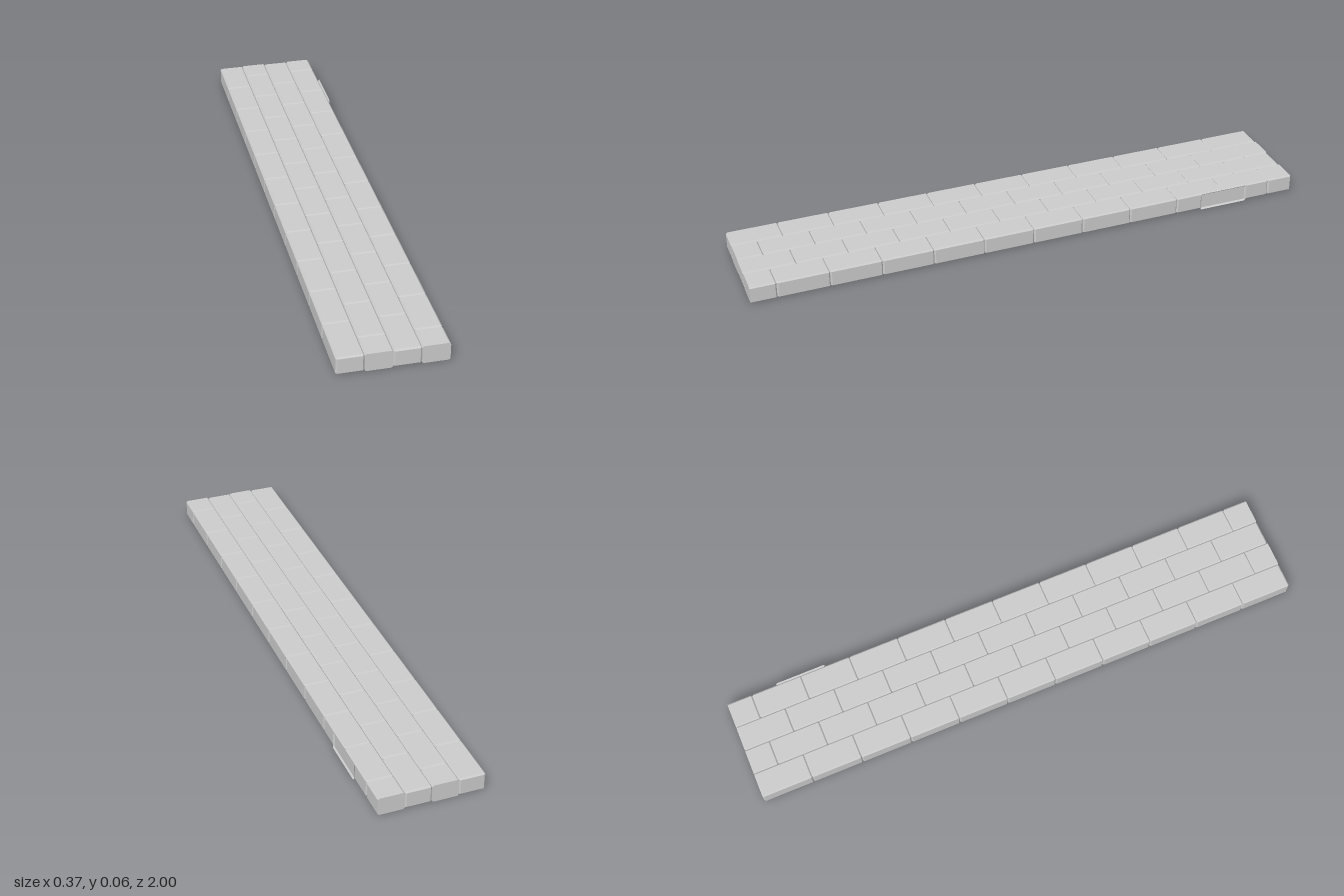
import * as THREE from 'three';
import { ConvexGeometry } from 'three/addons/geometries/ConvexGeometry.js';

const W = 0.09025, H = 0.063, C = 0.005, ROWS = 11, PITCH = 2 / ROWS;
const LEFT = -0.183;

// Brick with chamfered edges, centred on the origin; an end may be cut flat.
function brickGeometry(length, cutBack = false, cutFront = false) {
  const pts = [];
  for (const sx of [-1, 1]) for (const sy of [-1, 1]) for (const sz of [-1, 1]) {
    const cut = sz < 0 ? cutBack : cutFront;
    const x = sx * W / 2, y = sy * H / 2, z = sz * length / 2;
    const xi = x - sx * C, yi = y - sy * C, zi = cut ? z : z - sz * C;
    pts.push(new THREE.Vector3(x, yi, zi), new THREE.Vector3(xi, y, zi));
    if (!cut) pts.push(new THREE.Vector3(xi, yi, z));
  }
  return new ConvexGeometry(pts);
}

// Only the side face of a brick with its surrounding chamfers.
function brickSideGeometry(length) {
  const p = brickGeometry(length).getAttribute('position');
  const kept = [];
  for (let i = 0; i < p.count; i += 3) {
    const tri = [i, i + 1, i + 2];
    if (tri.every((k) => p.getX(k) < -W / 2 + C + 1e-5)) {
      tri.forEach((k) => kept.push(p.getX(k), p.getY(k), p.getZ(k)));
    }
  }
  const g = new THREE.BufferGeometry();
  g.setAttribute('position', new THREE.Float32BufferAttribute(kept, 3));
  g.computeVertexNormals();
  return g;
}

export function createModel() {
  const model = new THREE.Group();
  model.name = 'brickStrip';
  const material = new THREE.MeshStandardMaterial({ color: 0xcccccc, flatShading: true });
  const thin = material.clone();
  thin.side = THREE.DoubleSide;

  const full = brickGeometry(PITCH);
  const backHalf = brickGeometry(PITCH / 2, true, false);
  const frontHalf = brickGeometry(PITCH / 2, false, true);

  // Four columns in running bond; every second one starts and ends on a half brick.
  for (let col = 0; col < 4; col++) {
    const column = new THREE.Group();
    column.name = 'brickColumn' + (col + 1);
    column.position.set(LEFT + (col + 0.5) * W, H / 2, 0);
    const add = (geometry, z, name) => {
      const brick = new THREE.Mesh(geometry, material);
      brick.name = name;
      brick.position.z = z;
      column.add(brick);
    };
    const offset = col % 2 === 1;
    const count = offset ? ROWS - 1 : ROWS;
    for (let i = 0; i < count; i++) add(full, (i - (count - 1) / 2) * PITCH, 'brick');
    if (offset) {
      add(backHalf, -1 + PITCH / 4, 'backHalfBrick');
      add(frontHalf, 1 - PITCH / 4, 'frontHalfBrick');
    }
    model.add(column);
  }

  // Thin leftover face of a neighbouring brick on the right edge
  const panel = new THREE.Mesh(brickSideGeometry(PITCH), thin);
  panel.name = 'sidePanel';
  panel.position.set(LEFT + 4.5 * W, H / 2, -1 + 1.5 * PITCH);
  model.add(panel);

  return model;
}
